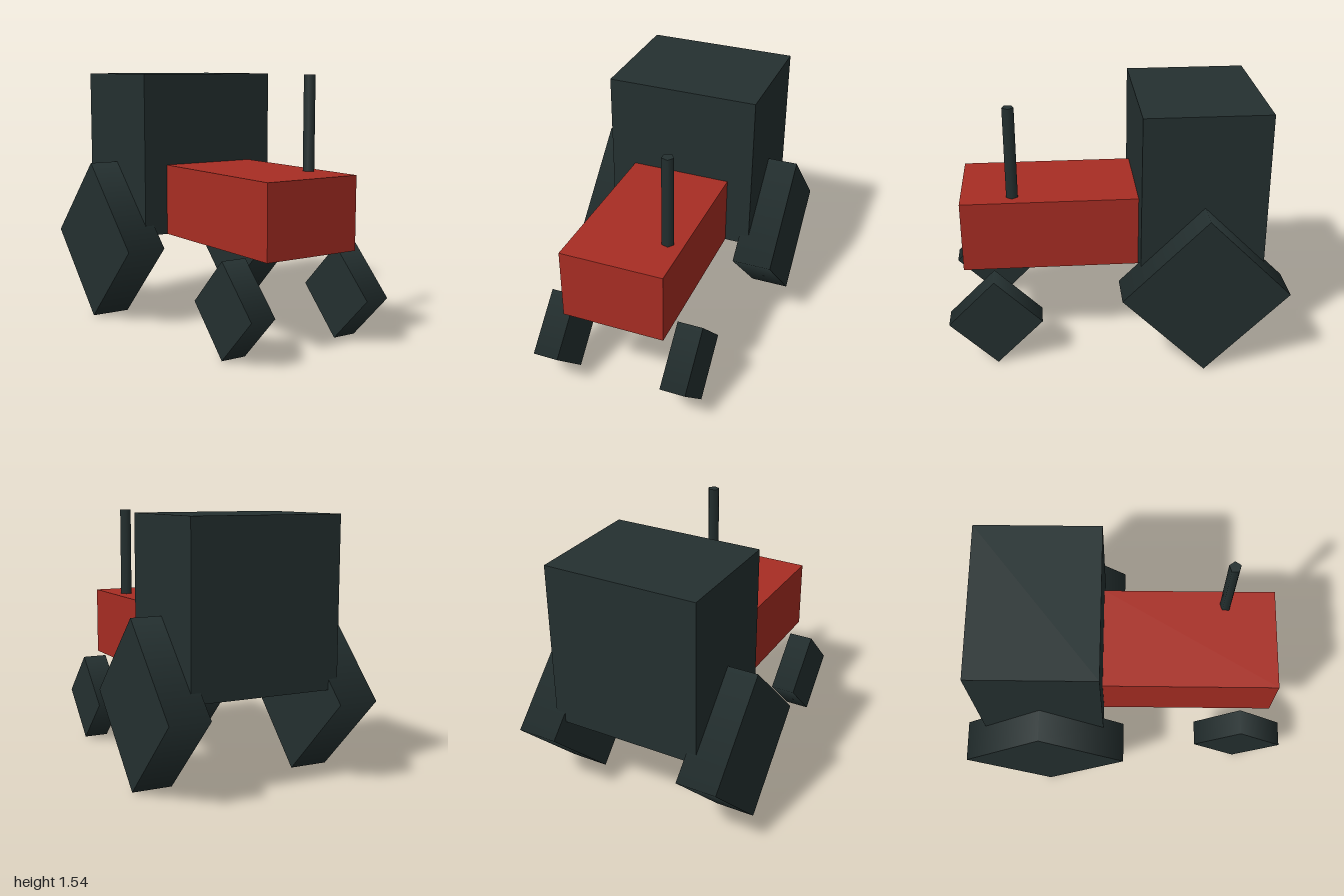
import * as THREE from 'three';

export function createModel() {
  const model = new THREE.Group();
  const red = new THREE.MeshStandardMaterial({ name: 'red paint', color: 0xa82d23 });
  const dark = new THREE.MeshStandardMaterial({ name: 'dark slate', color: 0x243030 });

  const add = (name, geometry, material, x, y, z) => {
    const mesh = new THREE.Mesh(geometry, material);
    mesh.name = name;
    mesh.position.set(x, y, z);
    model.add(mesh);
  };

  // Engine hood and cab share the same underside height
  add('hood', new THREE.BoxGeometry(0.615, 0.43, 1.045), red, 0, 0.77, 0.3825);
  add('cab', new THREE.BoxGeometry(0.92, 0.984, 0.735), dark, 0, 1.047, -0.5075);

  // Five-sided exhaust pipe on the left of the hood
  const pipe = new THREE.CylinderGeometry(0.036, 0.036, 0.554, 5).rotateY(Math.PI / 2);
  add('exhaustPipe', pipe, dark, 0.214, 1.262, 0.6);

  // Four-sided wheels standing on a corner
  const wheel = (radius, width) =>
    new THREE.CylinderGeometry(radius, radius, width, 4).rotateZ(Math.PI / 2);
  for (const [side, s] of [['Left', 1], ['Right', -1]]) {
    add('rearWheel' + side, wheel(0.492, 0.243), dark, s * 0.523, 0.492, -0.508);
    add('frontWheel' + side, wheel(0.277, 0.153), dark, s * 0.398, 0.277, 0.723);
  }

  return model;
}
